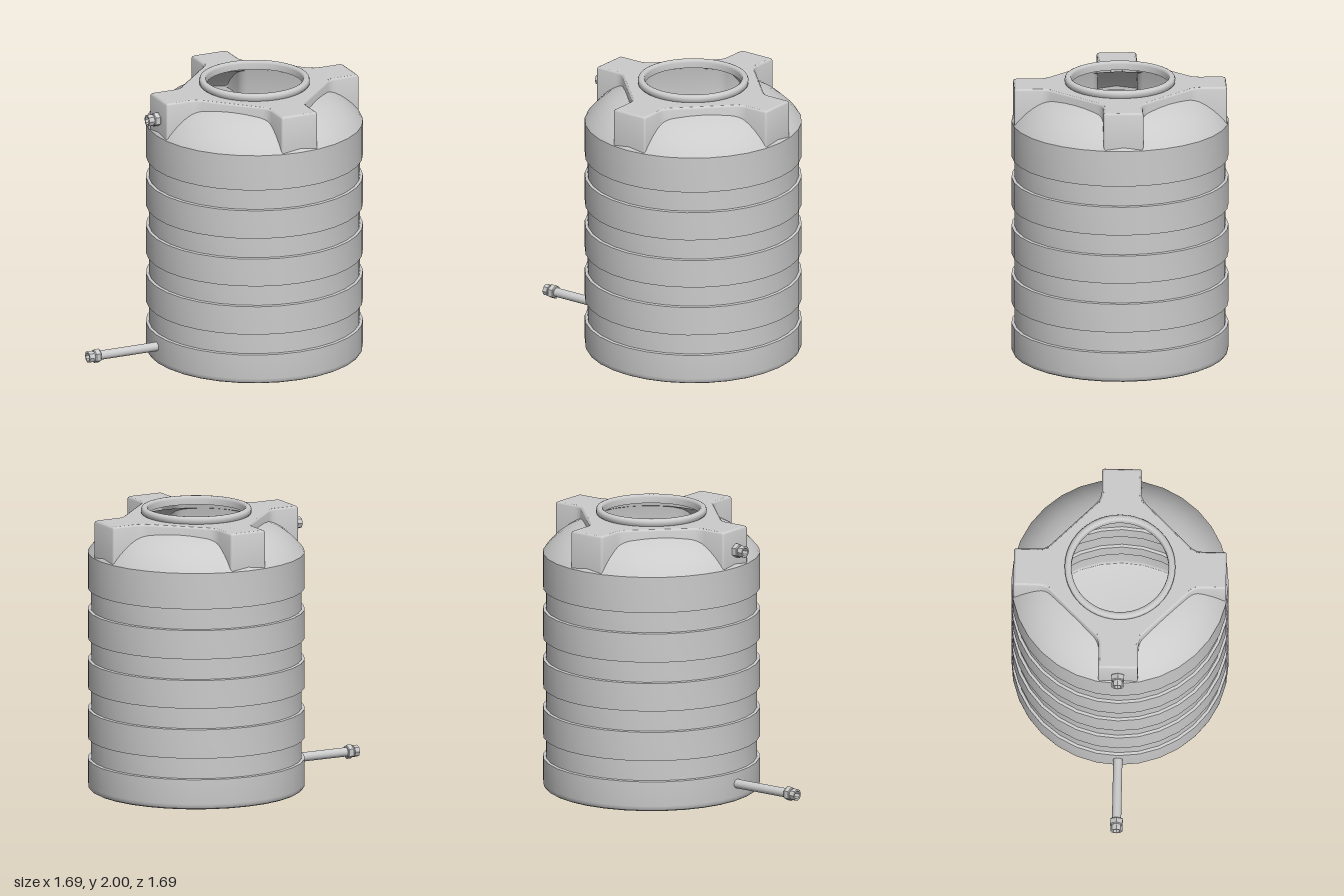
import * as THREE from 'three';
import { toCreasedNormals } from 'three/addons/utils/BufferGeometryUtils.js';

const mat = new THREE.MeshStandardMaterial({ color: 0xcccccc, side: THREE.DoubleSide });

function add(parent, name, geometry) {
  const mesh = new THREE.Mesh(geometry, mat);
  mesh.name = name;
  parent.add(mesh);
  return mesh;
}

function lathe(points, segments, crease = 0.5) {
  const profile = points.map(([r, y]) => new THREE.Vector2(r, y));
  return toCreasedNormals(new THREE.LatheGeometry(profile, segments), crease);
}

// Plan of the top frame: a square with four diagonal arms, corners rounded
function framePlan(inset) {
  const side = 0.465 - inset, end = 0.739 - inset, half = 0.138 - inset;
  const a = (end + half) / Math.SQRT2, b = (end - half) / Math.SQRT2;
  const c = side - half * Math.SQRT2;
  const corners = [];
  for (let i = 0; i < 4; i++) {
    for (const [x, y, r] of [[side, c, 0.05], [a, b, 0.016], [b, a, 0.016], [c, side, 0.05]]) {
      const p = new THREE.Vector2(x, y).rotateAround(new THREE.Vector2(), i * Math.PI / 2);
      corners.push({ p, r });
    }
  }
  const shape = new THREE.Shape();
  corners.forEach(({ p, r }, i) => {
    const toward = (q) => p.clone().add(q.clone().sub(p).setLength(r));
    const start = toward(corners[(i + 15) % 16].p), stop = toward(corners[(i + 1) % 16].p);
    if (i === 0) shape.moveTo(start.x, start.y);
    else shape.lineTo(start.x, start.y);
    shape.quadraticCurveTo(p.x, p.y, stop.x, stop.y);
  });
  shape.closePath();
  return shape;
}

// Walls of the frame with a softly rounded upper edge
function frameWalls() {
  const levels = [[0, 1.675], [0, 1.935], [0.004, 1.944], [0.014, 1.95]];
  const rings = levels.map(([inset, y]) => framePlan(inset).getPoints(4)
    .map((p) => [p.x, y, -p.y]));
  const n = rings[0].length;
  const positions = [], index = [];
  rings.forEach((ring) => ring.forEach((p) => positions.push(...p)));
  for (let k = 0; k < rings.length - 1; k++) {
    for (let i = 0; i < n - 1; i++) {
      const a = k * n + i, b = a + 1, c = a + n, d = b + n;
      index.push(a, b, d, a, d, c);
    }
  }
  const g = new THREE.BufferGeometry();
  g.setAttribute('position', new THREE.Float32BufferAttribute(positions, 3));
  g.setIndex(index);
  return toCreasedNormals(g, 0.7);
}

// Threaded end fitting: hex nut, narrow collar and open hex tip, pointing along +y
function fitting(name) {
  const group = new THREE.Group();
  group.name = name;
  add(group, 'hexNut', lathe([[0.024, 0], [0.045, 0], [0.05, 0.006], [0.05, 0.04], [0.045, 0.046], [0.024, 0.046]], 6, 0.3));
  add(group, 'collar', lathe([[0.035, 0.04], [0.035, 0.062]], 16));
  add(group, 'openTip', lathe([[0.03, 0.055], [0.042, 0.055], [0.042, 0.09], [0.028, 0.09], [0.028, 0.02], [0, 0.02]], 8, 0.3));
  return group;
}

export function createModel() {
  const model = new THREE.Group();
  const tank = new THREE.Group();
  tank.name = 'tank';
  tank.position.set(0.095, 0, -0.085);
  model.add(tank);

  // Ribbed barrel with a closed floor
  const R = 0.755, G = 0.735;
  const barrel = [[0, 0], [0.73, 0], [0.745, 0.008], [0.753, 0.022], [R, 0.04]];
  for (const [low, high] of [[0.215, 0.365], [0.57, 0.72], [0.92, 1.07], [1.275, 1.425]]) {
    barrel.push([R, low], [G, low + 0.004], [G, high - 0.004], [R, high]);
  }
  barrel.push([R, 1.68]);
  add(tank, 'barrel', lathe(barrel, 32));

  // Domed shoulder
  add(tank, 'shoulder', lathe([[R, 1.68], [0.735, 1.708], [0.7, 1.747], [0.66, 1.785],
    [0.615, 1.82], [0.565, 1.849], [0.515, 1.872], [0.46, 1.891]], 32));

  // Four-armed top frame around the manhole
  add(tank, 'frameWalls', frameWalls());
  const top = framePlan(0.014);
  top.holes.push(new THREE.Path().absarc(0, 0, 0.36, 0, Math.PI * 2, true));
  const deck = new THREE.ShapeGeometry(top, 16);
  deck.rotateX(-Math.PI / 2).translate(0, 1.95, 0);
  add(tank, 'frameDeck', deck);

  // Rounded manhole rim
  add(tank, 'manholeRim', lathe([[0.372, 1.945], [0.384, 1.958], [0.385, 1.982], [0.379, 1.995],
    [0.367, 2], [0.35, 2], [0.341, 1.994], [0.338, 1.98], [0.338, 1.94], [0.36, 1.94]], 48, 0.8));

  // Inlet and outlet on the front right diagonal
  const plumbing = new THREE.Group();
  plumbing.name = 'plumbing';
  plumbing.rotation.y = -Math.PI / 4;
  tank.add(plumbing);
  const inlet = fitting('inletFitting');
  inlet.rotation.x = Math.PI / 2;
  inlet.position.set(0, 1.8, 0.736);
  const outlet = fitting('outletFitting');
  outlet.rotation.x = Math.PI / 2;
  outlet.position.set(0, 0.13, 1.193);
  plumbing.add(inlet, outlet);
  const pipe = add(plumbing, 'outletPipe', new THREE.CylinderGeometry(0.032, 0.032, 0.49, 20, 1, true));
  pipe.rotation.x = Math.PI / 2;
  pipe.position.set(0, 0.13, 0.965);

  return model;
}
